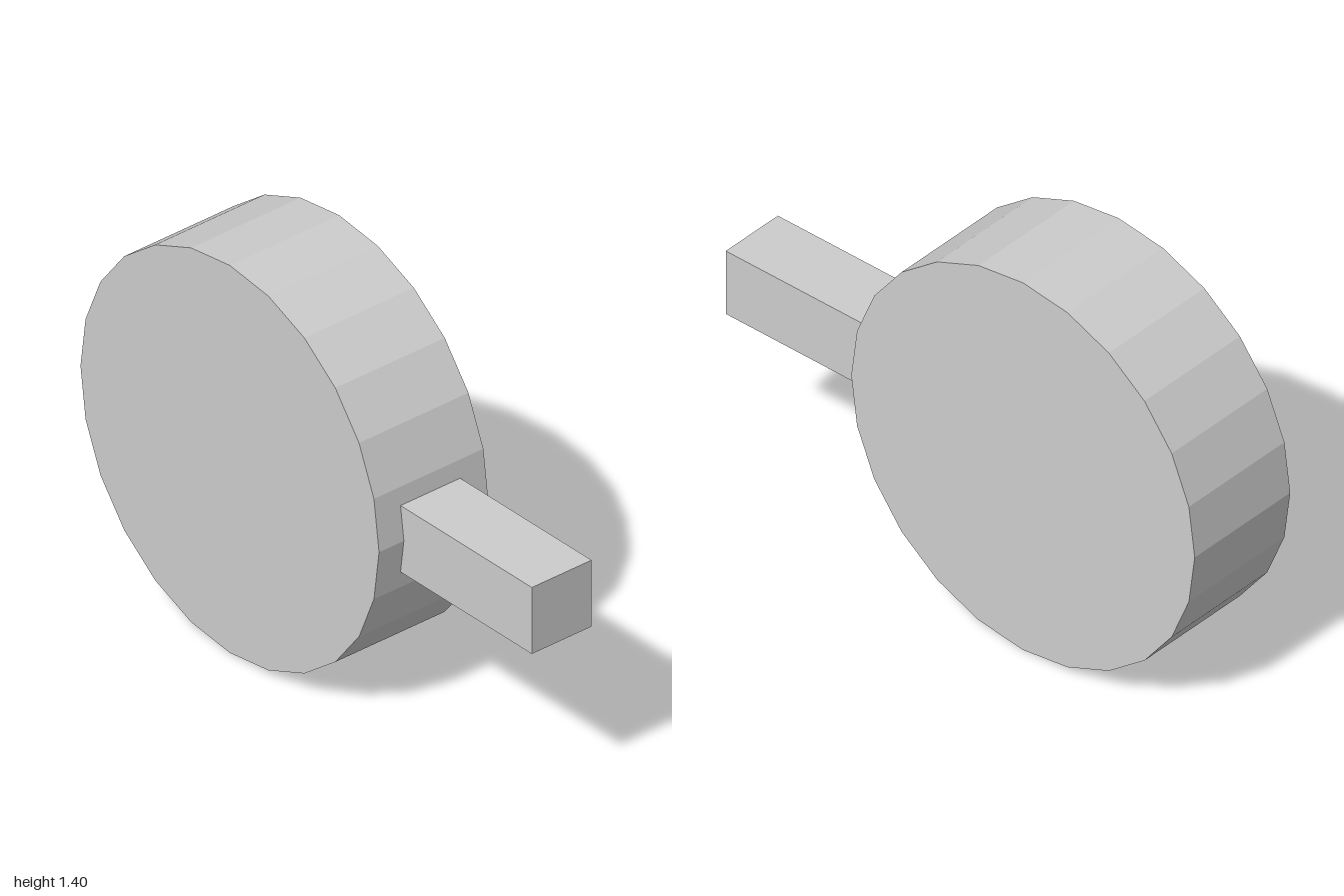
import * as THREE from 'three';

export function createModel() {
  const model = new THREE.Group();
  const grey = new THREE.MeshStandardMaterial({ color: 0xcccccc, flatShading: true });
  grey.name = 'light grey';

  const add = (name, geometry, y, z) => {
    const mesh = new THREE.Mesh(geometry, grey);
    mesh.name = name;
    mesh.position.set(0, y, z);
    model.add(mesh);
  };

  // Upright 24-sided disc, its axis running left to right
  const radius = 0.7;
  const discZ = -0.3;
  add('disc', new THREE.CylinderGeometry(radius, radius, 0.44, 24).rotateZ(Math.PI / 2), radius, discZ);

  // Square bar pointing forward, set slightly into the rim
  const barBack = 0.36, barFront = 1;
  add('bar', new THREE.BoxGeometry(0.24, 0.24, barFront - barBack), radius, (barFront + barBack) / 2);

  return model;
}
